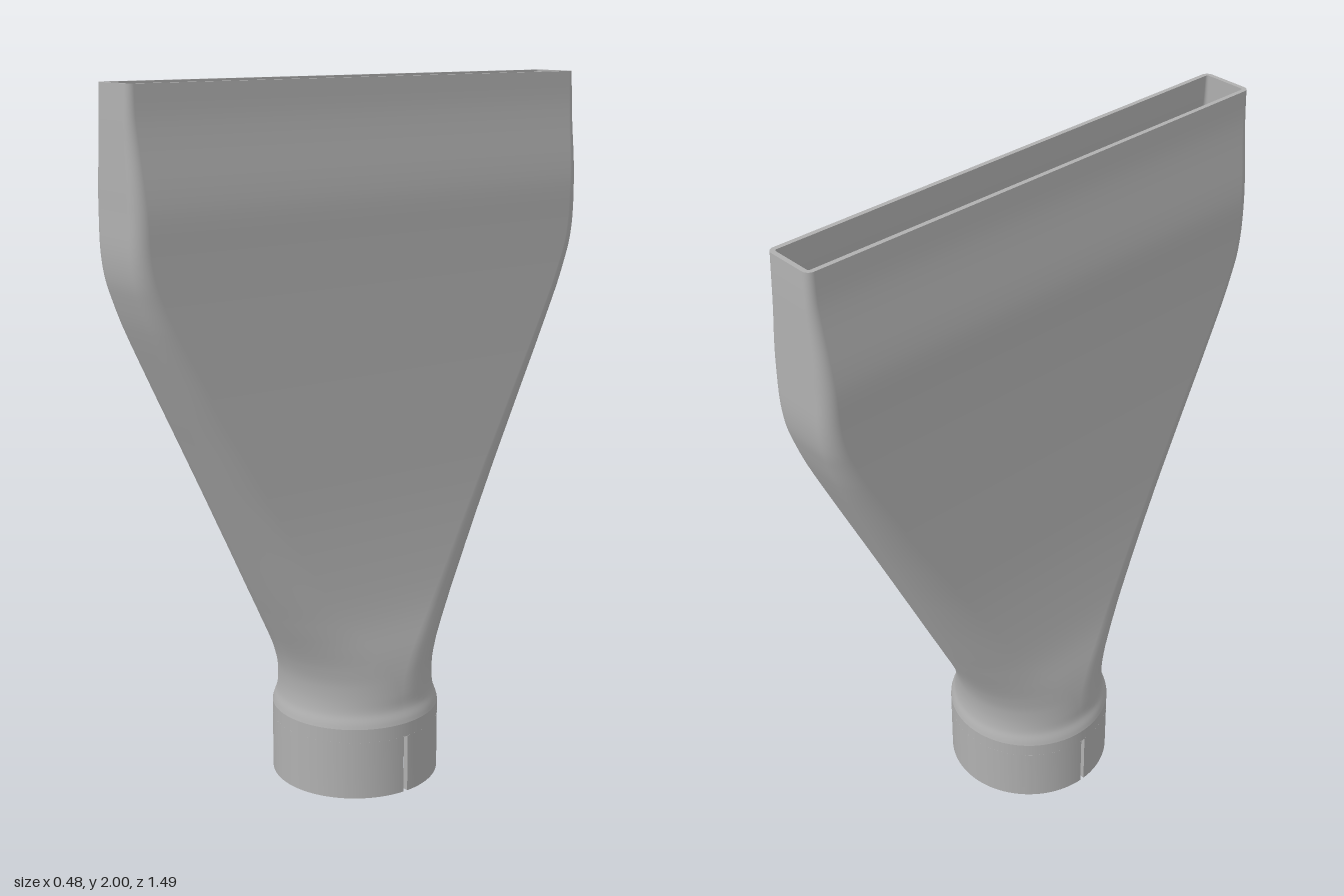
import * as THREE from 'three';
import { toCreasedNormals } from 'three/addons/utils/BufferGeometryUtils.js';

const CORNER = 16; // segments per rounded corner
const SLOT_TOP = 0.17;

// One horizontal cross-section: a rounded rectangle of half sizes hx, hz and corner radius r
const ring = (y, hx, hz, r) => ({ y, hx, hz, r });
const circle = (y, r) => ring(y, r, r, r);

// Key sections of the outer skin: y, half width x, half width z, corner radius
const KEYS = [
  [0.21, 0.242, 0.242, 0.242], [0.225, 0.237, 0.238, 0.237], [0.25, 0.226, 0.23, 0.226],
  [0.29, 0.221, 0.226, 0.221], [0.34, 0.213, 0.23, 0.212], [0.4, 0.2, 0.247, 0.195],
  [0.5, 0.174, 0.291, 0.16], [0.6, 0.157, 0.337, 0.138], [0.8, 0.136, 0.428, 0.107],
  [1.0, 0.125, 0.519, 0.086], [1.2, 0.117, 0.611, 0.068], [1.38, 0.111, 0.692, 0.055],
  [1.45, 0.109, 0.718, 0.05], [1.51, 0.108, 0.736, 0.046], [1.58, 0.107, 0.745, 0.042],
  [1.68, 0.106, 0.745, 0.038], [1.75, 0.1, 0.745, 0.034], [1.85, 0.087, 0.744, 0.028],
  [1.92, 0.08, 0.743, 0.023], [2.0, 0.077, 0.74, 0.02],
];

// Smooth sections through the keys
function outerRings(steps = 4) {
  const curve = new THREE.CatmullRomCurve3(KEYS.map(([y, hx, hz]) => new THREE.Vector3(hx, y, hz)));
  const last = KEYS.length - 1, rings = [];
  for (let i = 0; i <= last * steps; i++) {
    const k = Math.min(Math.floor(i / steps), last - 1);
    const p = curve.getPoint(i / (last * steps));
    const r = THREE.MathUtils.lerp(KEYS[k][3], KEYS[k + 1][3], i / steps - k);
    rings.push(ring(p.y, p.x, p.z, Math.min(r, p.x, p.z)));
  }
  return rings;
}

// Loft through sections; rising sections face outwards, falling ones inwards
function loft(rings) {
  const pos = [], nor = [], index = [], n = 4 * (CORNER + 1);
  rings.forEach((s, j) => {
    const a = rings[Math.max(j - 1, 0)], b = rings[Math.min(j + 1, rings.length - 1)];
    for (let q = 0; q < 4; q++) {
      const sx = q === 0 || q === 3 ? 1 : -1, sz = q < 2 ? 1 : -1;
      for (let i = 0; i <= CORNER; i++) {
        const t = (q + i / CORNER) * Math.PI / 2, c = Math.cos(t), d = Math.sin(t);
        pos.push(sx * (s.hx - s.r) + s.r * c, s.y, sz * (s.hz - s.r) + s.r * d);
        const reach = (o) => (o.hx - o.r) * Math.abs(c) + (o.hz - o.r) * Math.abs(d) + o.r;
        const dy = b.y - a.y;
        const v = new THREE.Vector3(c * dy, reach(a) - reach(b), d * dy).normalize();
        nor.push(v.x, v.y, v.z);
      }
    }
  });
  for (let j = 0; j < rings.length - 1; j++) {
    for (let i = 0; i < n; i++) {
      const a = j * n + i, b = j * n + (i + 1) % n;
      index.push(a, a + n, b, b, a + n, b + n);
    }
  }
  const g = new THREE.BufferGeometry();
  g.setAttribute('position', new THREE.Float32BufferAttribute(pos, 3));
  g.setAttribute('normal', new THREE.Float32BufferAttribute(nor, 3));
  g.setIndex(index);
  return g;
}

// Half of the slotted collar, leaving a narrow gap at each end of the arc
function collarHalf(start) {
  const e = 0.028, shape = new THREE.Shape();
  shape.absarc(0, 0, 0.242, start + e, start + Math.PI - e, false);
  shape.absarc(0, 0, 0.226, start + Math.PI - e, start + e, true);
  const g = new THREE.ExtrudeGeometry(shape, { depth: SLOT_TOP, bevelEnabled: false, curveSegments: 40 });
  g.rotateX(-Math.PI / 2);
  return toCreasedNormals(g, 0.6);
}

export function createModel() {
  const group = new THREE.Group();
  group.name = 'flatNozzle';
  const grey = new THREE.MeshStandardMaterial({ color: 0xb0b0b0 });
  grey.name = 'grey plastic';
  const add = (name, geometry) => {
    const mesh = new THREE.Mesh(geometry, grey);
    mesh.name = name;
    group.add(mesh);
  };

  // Inner skin: the outer one thinned by the wall, from the mouth down to the neck
  const outer = outerRings();
  const inner = outer.filter((s) => s.y >= 0.29).map((s) => {
    const w = THREE.MathUtils.lerp(0.018, 0.013, (s.y - 0.29) / 1.71);
    return ring(s.y, s.hx - w, s.hz - w, s.r - w);
  }).reverse();
  inner.push(circle(0.2, 0.205));

  add('nozzleBody', loft(outer));
  add('mouthRim', loft([outer[outer.length - 1], inner[0]]));
  add('innerWall', loft(inner));
  add('stopLedge', loft([circle(0.2, 0.205), circle(0.2, 0.226)]));

  // Collar: closed band on top, two halves with slots between them below
  add('collarBand', loft([circle(SLOT_TOP, 0.242), circle(0.21, 0.242)]));
  add('collarBandInside', loft([circle(0.2, 0.226), circle(SLOT_TOP, 0.226)]));
  add('collarBandUnderside', loft([circle(SLOT_TOP, 0.226), circle(SLOT_TOP, 0.242)]));
  add('collarFrontHalf', collarHalf(Math.PI));
  add('collarBackHalf', collarHalf(0));
  return group;
}
